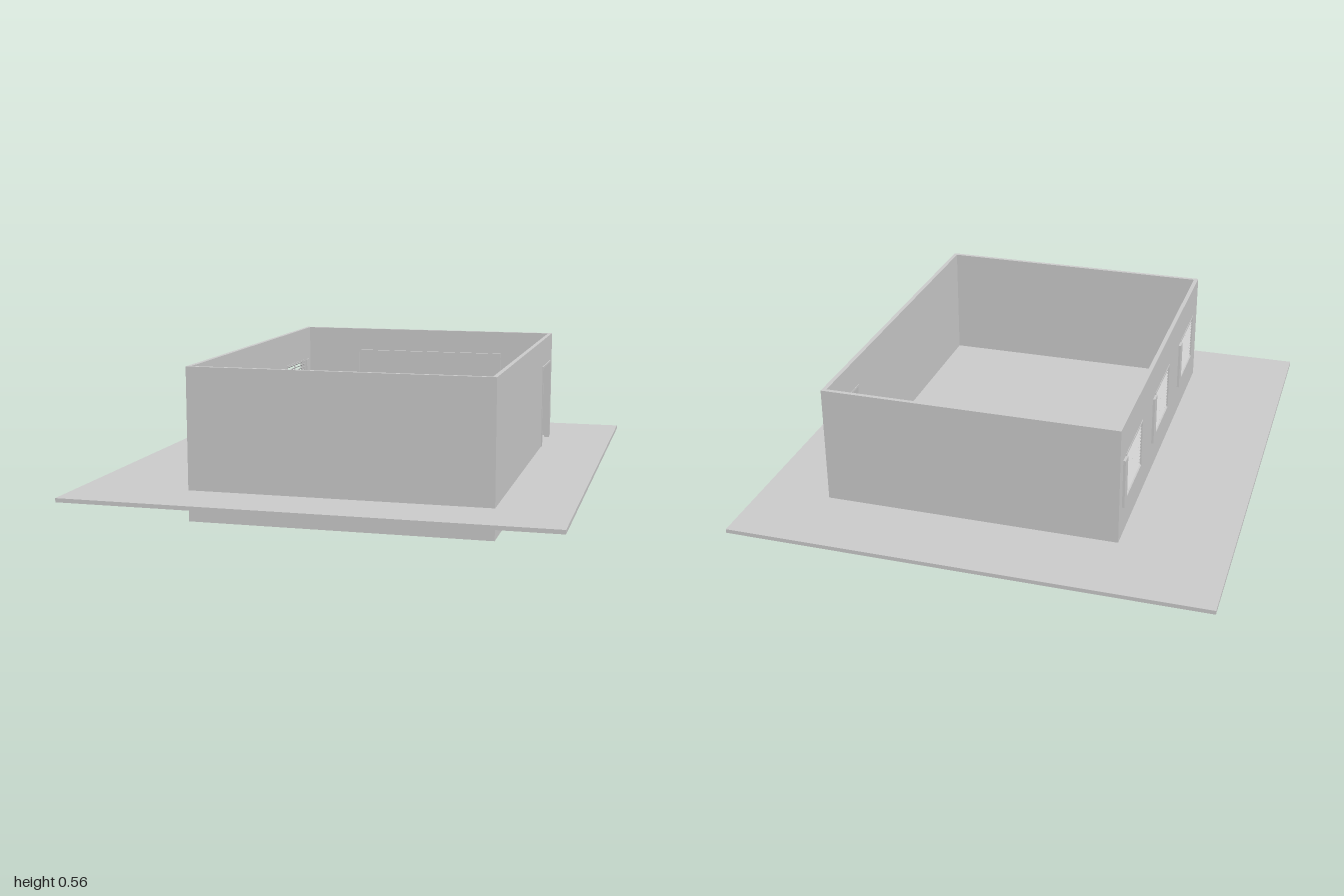
import * as THREE from 'three';

const mat = new THREE.MeshStandardMaterial({ color: 0xcccccc, flatShading: true });
const X0 = -0.49, X1 = 0.627, Z0 = -0.69, Z1 = 0.765, H = 0.565, T = 0.016;

// Box given by its minimum and maximum corners
function box(parent, name, x0, x1, y0, y1, z0, z1) {
  const mesh = new THREE.Mesh(new THREE.BoxGeometry(x1 - x0, y1 - y0, z1 - z0), mat);
  mesh.position.set((x0 + x1) / 2, (y0 + y1) / 2, (z0 + z1) / 2);
  mesh.name = name;
  parent.add(mesh);
  return mesh;
}

const polygon = (pts) => pts.map(([a, b]) => new THREE.Vector2(a, b));

// Wall drawn in (z, y), extruded from xOuter towards -x
function sideWall(parent, name, outline, holes, xRight) {
  const shape = new THREE.Shape(polygon(outline));
  for (const h of holes) shape.holes.push(new THREE.Path(polygon(h)));
  const geo = new THREE.ExtrudeGeometry(shape, { depth: T, bevelEnabled: false });
  geo.rotateY(-Math.PI / 2);
  const mesh = new THREE.Mesh(geo, mat);
  mesh.position.x = xRight;
  mesh.name = name;
  parent.add(mesh);
}

// Window with frame, louvre slats, vertical bars and a side control box
function makeWindow(z0) {
  const g = new THREE.Group();
  g.name = 'window';
  const z1 = z0 + 0.27, y0 = 0.235, y1 = 0.43, f = 0.007;
  const xa = X0 - 0.002, xb = X0 + T + 0.002, xm = X0 + T / 2;
  box(g, 'frameBottom', xa, xb, y0, y0 + f, z0, z1);
  box(g, 'frameTop', xa, xb, y1 - f, y1, z0, z1);
  box(g, 'frameBack', xa, xb, y0 + f, y1 - f, z0, z0 + f);
  box(g, 'frameFront', xa, xb, y0 + f, y1 - f, z1 - f, z1);
  const n = 14;
  for (let i = 0; i < n; i++) {
    const y = y0 + f + (i + 0.5) * (y1 - y0 - 2 * f) / n;
    const slat = box(g, 'slat', xm - 0.006, xm + 0.006, y - 0.001, y + 0.001, z0 + f, z1 - f);
    slat.rotation.z = 0.6;
  }
  for (const dz of [0.025, 0.135, 0.245])
    box(g, 'verticalBar', xm - 0.002, xm + 0.002, y0 + f, y1 - f, z0 + dz - 0.002, z0 + dz + 0.002);
  // control box through the wall, with an inner lever
  box(g, 'controlBox', X0 - 0.009, X0 + T + 0.006, y0, y1 - 0.005, z0 - 0.045, z0 - 0.006);
  box(g, 'lever', X0 + T + 0.006, X0 + T + 0.019, 0.3, 0.308, z0 - 0.022, z0 - 0.012);
  return g;
}

export function createModel() {
  const model = new THREE.Group();
  model.name = 'room';

  // Ground slab running through the walls
  box(model, 'groundSlab', -0.895, 0.895, 0.1, 0.115, -1, 1);

  // Front and back walls
  box(model, 'frontWall', X0, X1, 0, H, Z1 - T, Z1);
  box(model, 'backWall', X0, X1, 0, H, Z0, Z0 + T);

  // Window wall
  const za = Z0 + T, zb = Z1 - T;
  const starts = [-0.6, -0.105, 0.405];
  const holes = starts.map((z) => [[z, 0.235], [z, 0.43], [z + 0.27, 0.43], [z + 0.27, 0.235]]);
  sideWall(model, 'windowWall', [[za, 0], [zb, 0], [zb, H], [za, H]], holes, X0 + T);
  for (const z of starts) model.add(makeWindow(z));

  // Wall with the doorway cut down to its foot
  const d0 = -0.632, d1 = -0.4, dh = 0.45;
  sideWall(model, 'doorWall',
    [[za, 0], [d0, 0], [d0, dh], [d1, dh], [d1, 0], [zb, 0], [zb, H], [za, H]], [], X1);

  // Slim door lining
  const lining = new THREE.Group();
  lining.name = 'doorLining';
  box(lining, 'jambBack', X1 - T - 0.002, X1 + 0.004, 0, dh, d0 - 0.004, d0 + 0.004);
  box(lining, 'jambFront', X1 - T - 0.002, X1 + 0.004, 0, dh, d1 - 0.004, d1 + 0.004);
  box(lining, 'head', X1 - T - 0.002, X1 + 0.004, dh - 0.004, dh + 0.004, d0 - 0.004, d1 + 0.004);
  model.add(lining);

  // Framed board on the inside of the back wall
  const board = new THREE.Group();
  board.name = 'wallBoard';
  const b = { x0: -0.245, x1: 0.405, y0: 0.21, y1: 0.47, f: 0.008 };
  box(board, 'panel', b.x0 + b.f, b.x1 - b.f, b.y0 + b.f, b.y1 - b.f, za, za + 0.008);
  box(board, 'frameBottom', b.x0, b.x1, b.y0, b.y0 + b.f, za, za + 0.013);
  box(board, 'frameTop', b.x0, b.x1, b.y1 - b.f, b.y1, za, za + 0.013);
  box(board, 'frameRight', b.x0, b.x0 + b.f, b.y0 + b.f, b.y1 - b.f, za, za + 0.013);
  box(board, 'frameLeft', b.x1 - b.f, b.x1, b.y0 + b.f, b.y1 - b.f, za, za + 0.013);
  model.add(board);

  return model;
}
